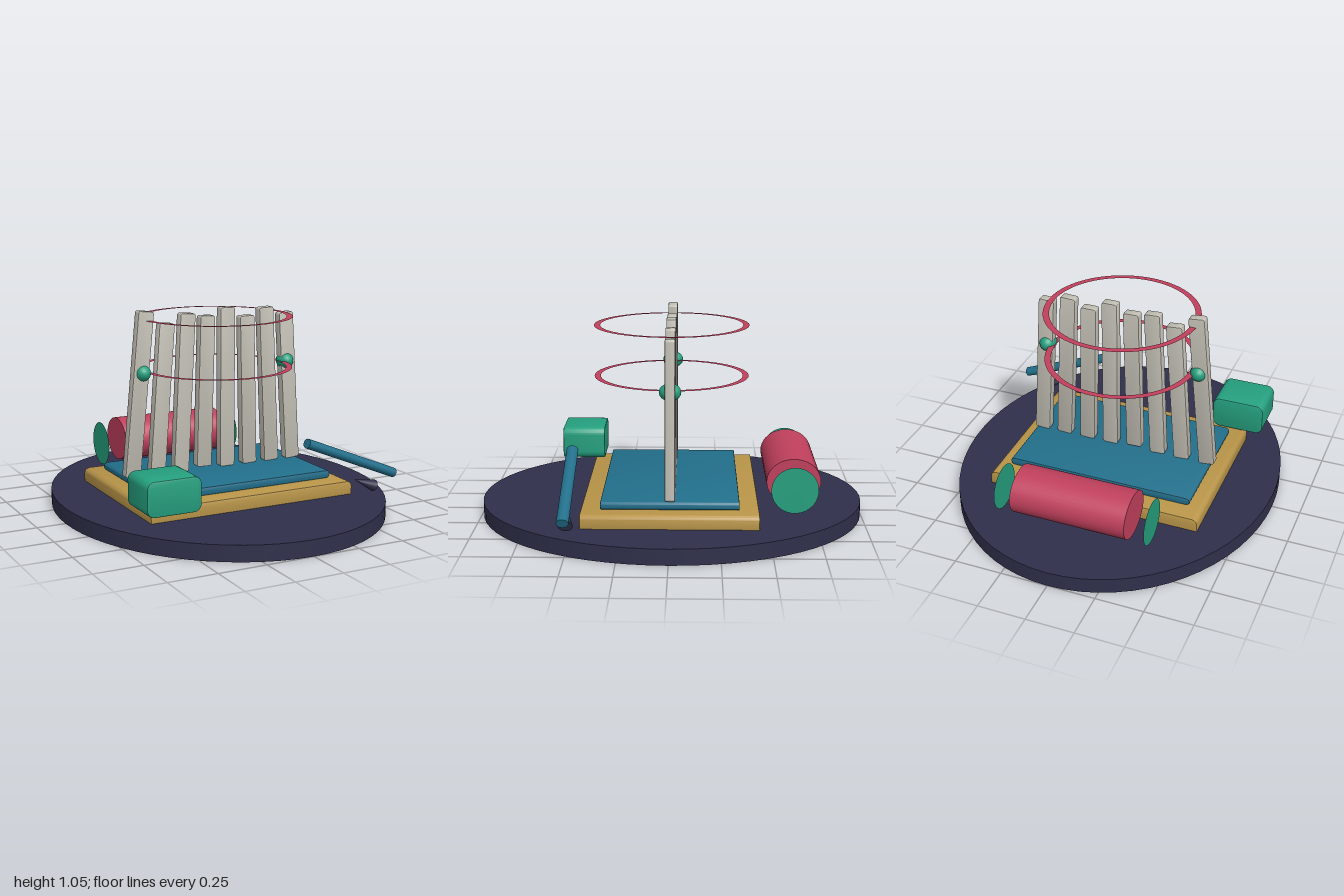
import * as THREE from 'three';
import { toCreasedNormals } from 'three/addons/utils/BufferGeometryUtils.js';

function material(name, color, side = THREE.FrontSide) {
  const m = new THREE.MeshStandardMaterial({ color, side });
  m.name = name;
  return m;
}

// Rounded rectangle in the xy plane, extruded along z with a fine bevel, centred
function slab(w, h, d, r, bevel = 0.006) {
  const x = w / 2 - bevel, y = h / 2 - bevel;
  const s = new THREE.Shape();
  s.moveTo(-x + r, -y);
  s.lineTo(x - r, -y);
  s.absarc(x - r, -y + r, r, -Math.PI / 2, 0);
  s.lineTo(x, y - r);
  s.absarc(x - r, y - r, r, 0, Math.PI / 2);
  s.lineTo(-x + r, y);
  s.absarc(-x + r, y - r, r, Math.PI / 2, Math.PI);
  s.lineTo(-x, -y + r);
  s.absarc(-x + r, -y + r, r, Math.PI, Math.PI * 1.5);
  const g = new THREE.ExtrudeGeometry(s, {
    depth: d - 2 * bevel, bevelEnabled: true, bevelThickness: bevel,
    bevelSize: bevel, bevelSegments: 2, curveSegments: 6,
  });
  g.translate(0, 0, -d / 2 + bevel);
  return toCreasedNormals(g, 0.6);
}

export function createModel() {
  const model = new THREE.Group();
  const navy = material('navy', 0x2f2f4b);
  const gold = material('gold', 0xb89448);
  const blue = material('blue', 0x226f8b);
  const grey = material('warm grey', 0xc2bfb4);
  const green = material('green', 0x25a07f, THREE.DoubleSide);
  const red = material('red', 0xc0405d, THREE.DoubleSide);

  function add(name, geometry, mat, x = 0, y = 0, z = 0) {
    const mesh = new THREE.Mesh(geometry, mat);
    mesh.name = name;
    mesh.position.set(x, y, z);
    model.add(mesh);
    return mesh;
  }

  // Oval base with stacked plates
  add('base', new THREE.CylinderGeometry(1, 1, 0.082, 64).scale(0.85, 1, 1), navy, 0, 0.041, 0);
  add('lowerPlate', slab(1.15, 0.102, 0.885, 0.024), gold, 0, 0.101, 0);
  add('upperPlate', slab(1, 0.042, 0.69, 0.014), blue, 0, 0.175, 0);

  // Leaning slats: bottom x, bottom y, top x, top y
  const slats = [
    [-0.485, 0.197, -0.4, 1.05], [-0.345, 0.197, -0.285, 0.982],
    [-0.21, 0.197, -0.167, 1.026], [-0.077, 0.21, -0.054, 1.008],
    [0.06, 0.197, 0.062, 1.045], [0.195, 0.197, 0.177, 0.994],
    [0.33, 0.197, 0.291, 1.032], [0.461, 0.197, 0.411, 0.999],
  ];
  for (const [x0, y0, x1, y1] of slats) {
    const length = Math.hypot(x1 - x0, y1 - y0);
    const slat = add('slat', slab(0.085, length, 0.05, 0.008, 0.004), grey, (x0 + x1) / 2, (y0 + y1) / 2, 0);
    slat.rotation.z = -Math.atan2(x1 - x0, y1 - y0);
  }

  // Flat hoops around the slats
  for (const y of [0.736, 1.002]) {
    add('hoop', new THREE.RingGeometry(0.37, 0.402, 64).rotateX(-Math.PI / 2), red, 0, y, 0);
  }

  // Side beads
  for (const s of [-1, 1]) {
    add('bead', new THREE.SphereGeometry(1, 24, 16).scale(0.044, 0.044, 0.055), green, s * 0.419, 0.736, 0);
  }

  // Rounded block at the front
  add('block', slab(0.284, 0.176, 0.235, 0.032, 0.008), green, -0.53, 0.256, 0.502);

  // Roll at the back with a loose disc off each end
  const roll = new THREE.CylinderGeometry(1, 1, 0.61, 40).rotateZ(Math.PI / 2);
  add('roll', roll.scale(1, 0.118, 0.138), red, 0, 0.248, -0.625);
  for (const s of [-1, 1]) {
    const disc = new THREE.CircleGeometry(0.119, 40).rotateY(s * Math.PI / 2);
    add('rollDisc', disc, green, s * 0.4, 0.23, -0.625);
  }

  // Sloping stick and its separate pointed tip
  const stick = add('stick', new THREE.CylinderGeometry(0.025, 0.025, 0.574, 20).scale(1, 1, 1.2), blue, 0.527, 0.292, 0.5);
  stick.rotation.z = Math.atan2(0.532, 0.216);
  const tip = add('stickTip', new THREE.ConeGeometry(0.031, 0.126, 20).scale(1, 1, 1.2), navy, 0.611, 0.152, 0.5);
  tip.rotation.z = Math.atan2(0.118, 0.045);

  return model;
}
